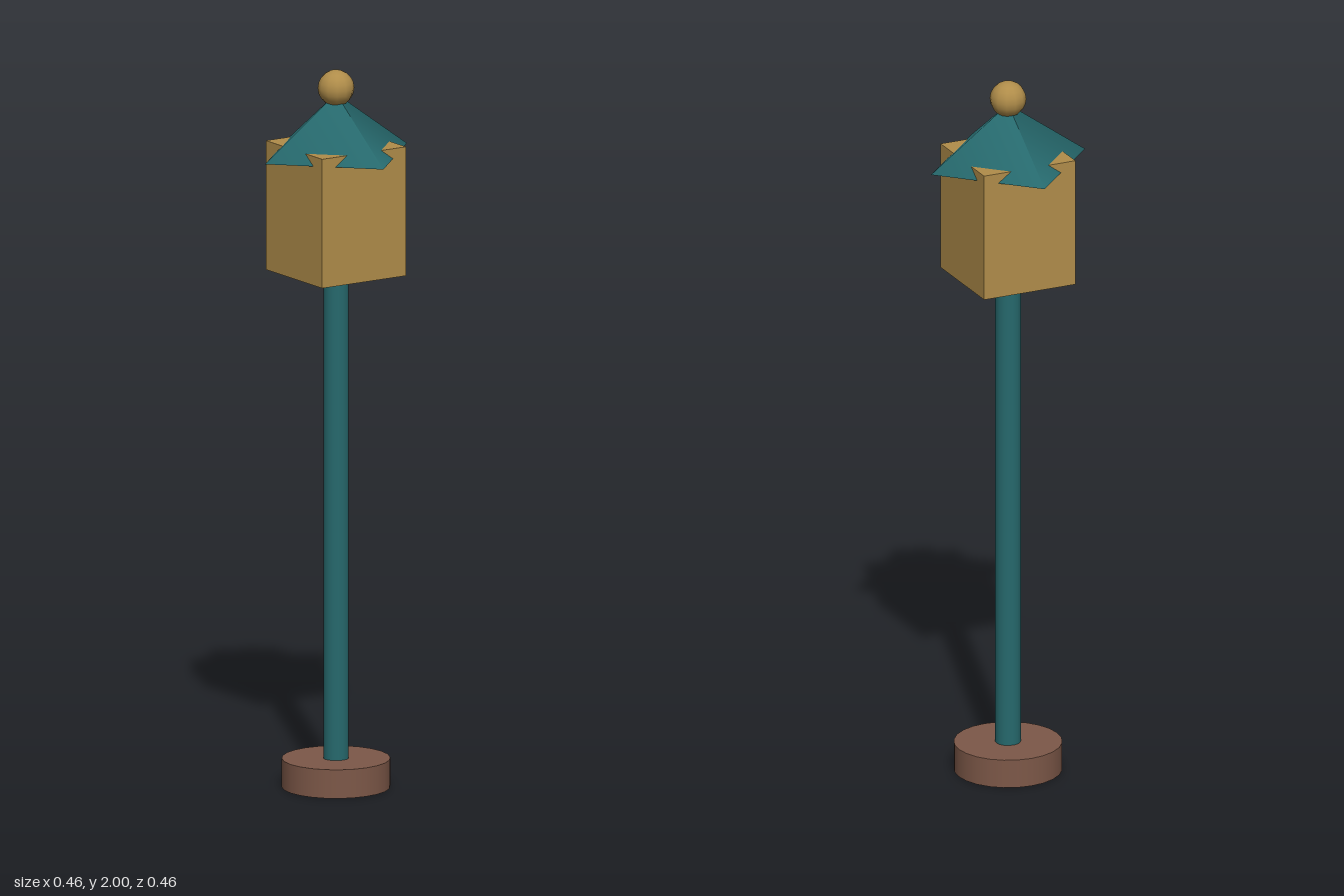
import * as THREE from 'three';

export function createModel() {
  const group = new THREE.Group();
  const teal = new THREE.MeshStandardMaterial({ color: 0x26696d });
  const brass = new THREE.MeshStandardMaterial({ color: 0xb08d4a });
  const brown = new THREE.MeshStandardMaterial({ color: 0x7d5848 });

  // Adds a named part centred on the post axis at height y
  const add = (name, geometry, material, y) => {
    const mesh = new THREE.Mesh(geometry, material);
    mesh.name = name;
    mesh.position.y = y;
    group.add(mesh);
  };

  // Round foot and slim post
  add('base', new THREE.CylinderGeometry(0.148, 0.148, 0.08, 24), brown, 0.04);
  add('post', new THREE.CylinderGeometry(0.035, 0.035, 1.38, 16), teal, 0.76);

  // Lantern box, its top corners poking through the roof
  add('lanternBox', new THREE.BoxGeometry(0.275, 0.36, 0.275), brass, 1.614);

  // Four-sided roof with its corners on the x and z axes
  add('roof', new THREE.ConeGeometry(0.232, 0.168, 4), teal, 1.766 + 0.084);

  // Ball on top
  add('finial', new THREE.SphereGeometry(0.05, 12, 10), brass, 1.95);

  return group;
}
